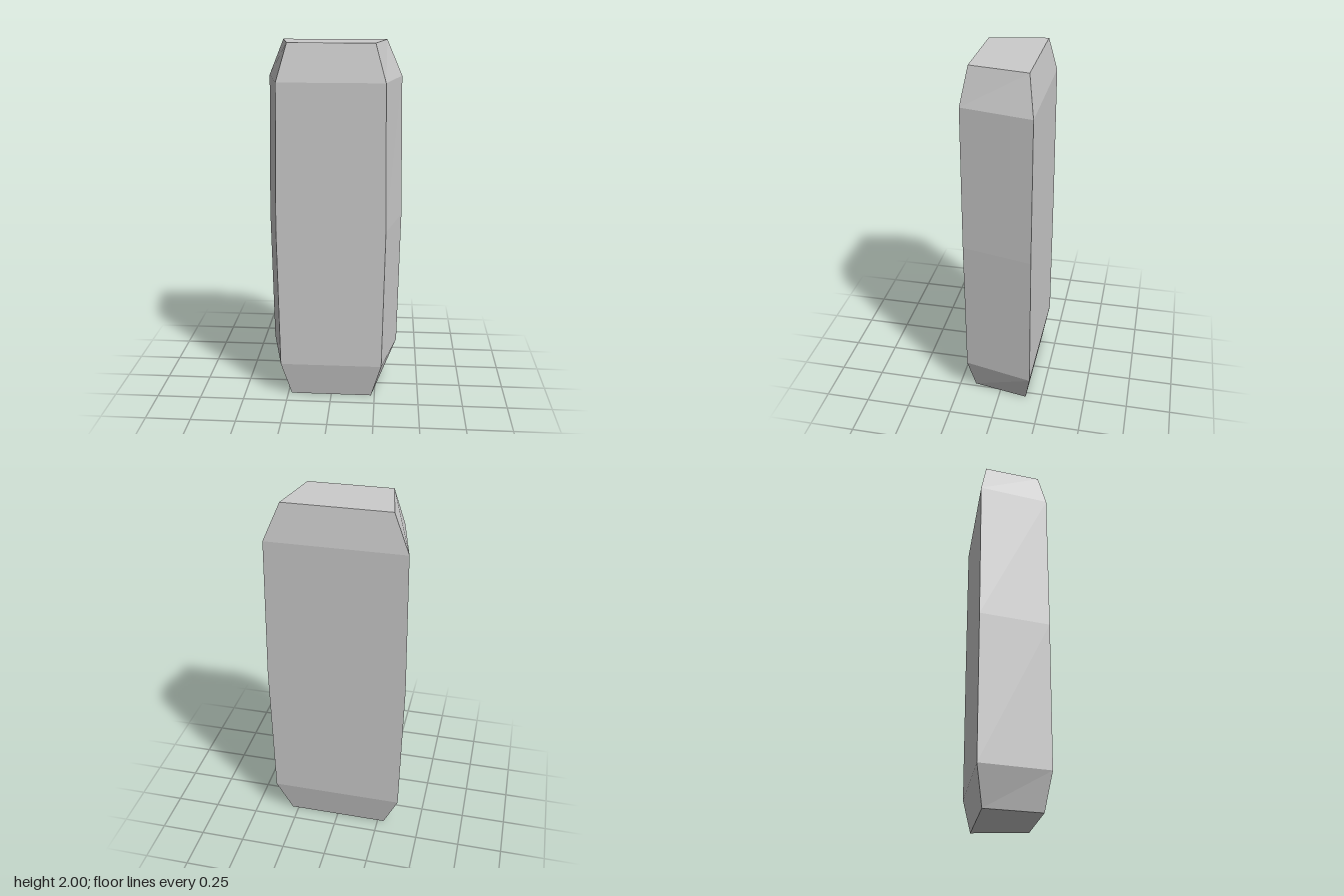
import * as THREE from 'three';

// Cross-section levels, bottom to top: height, half width at back, half width at front, half depth
const LEVELS = [
  [0, 0.287, 0.23, 0.158],
  [0.2, 0.373, 0.287, 0.194],
  [1, 0.387, 0.3, 0.194],
  [1.8, 0.373, 0.287, 0.194],
  [2, 0.287, 0.23, 0.158],
];

export function createModel() {
  const group = new THREE.Group();
  group.name = 'taperedBlock';

  // A box in four tiers, each ring of corners moved to its trapezoid section
  const box = new THREE.BoxGeometry(2, 4, 2, 1, 4, 1);
  const pos = box.attributes.position;
  for (let i = 0; i < pos.count; i++) {
    const [y, back, front, depth] = LEVELS[Math.round(pos.getY(i) + 2)];
    const z = Math.sign(pos.getZ(i));
    pos.setXYZ(i, Math.sign(pos.getX(i)) * (z > 0 ? front : back), y, z * depth);
  }
  const geometry = box.toNonIndexed();
  geometry.computeVertexNormals();

  const block = new THREE.Mesh(
    geometry,
    new THREE.MeshStandardMaterial({ color: 0xcccccc, flatShading: true })
  );
  block.name = 'block';
  group.add(block);
  return group;
}
